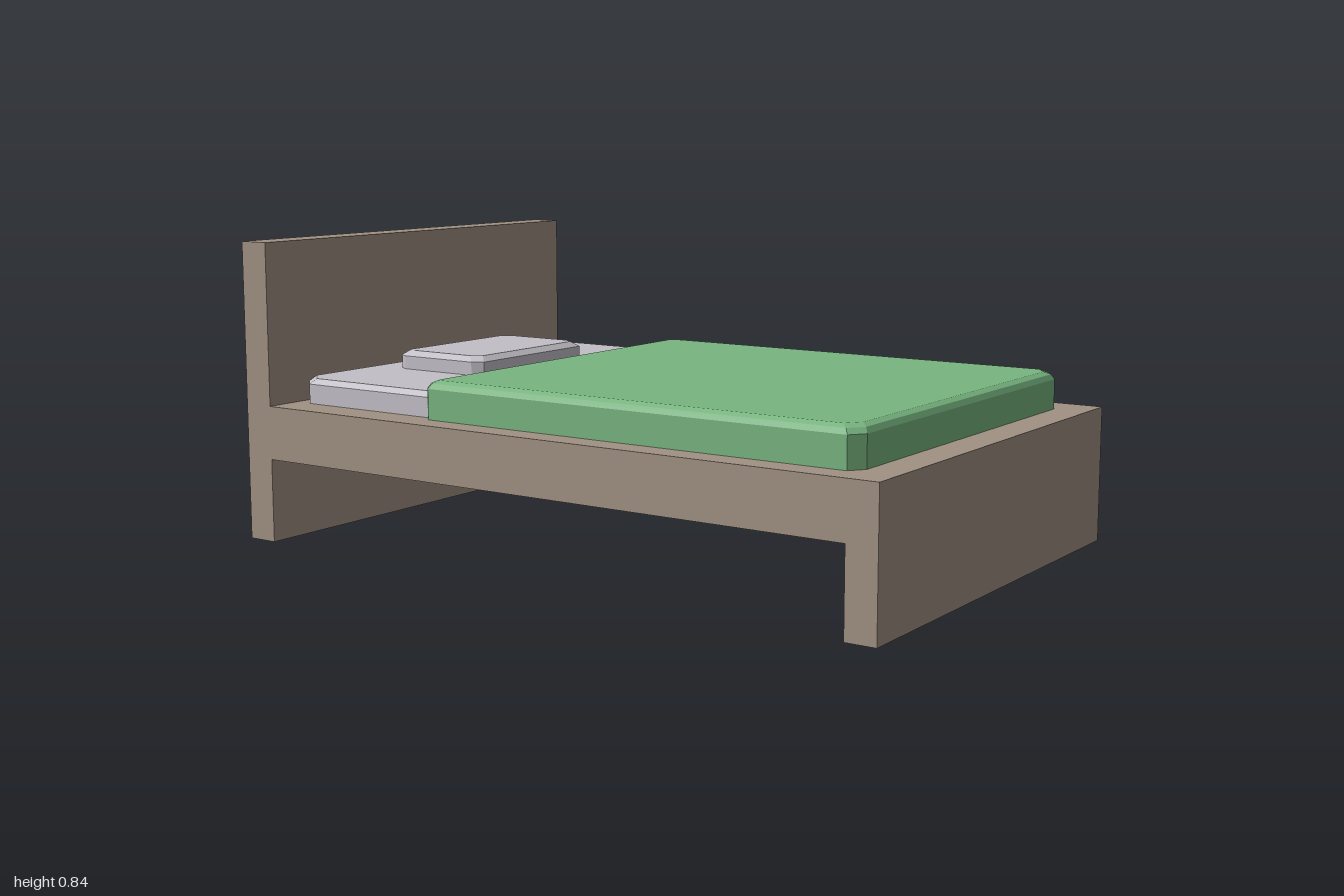
import * as THREE from 'three';

const mat = (name, color) => Object.assign(new THREE.MeshStandardMaterial({ color }), { name });

// Cut-corner slab: outline loops stacked as [y, inset], closed on top and bottom.
// cuts: corner cut [dx, dz] at the head (-x) and foot (+x) ends.
function slab(x0, x1, z0, z1, cutHead, cutFoot, levels) {
  const [hx, hz] = cutHead, [fx, fz] = cutFoot;
  const pos = [], index = [];
  for (const [y, i] of levels) {
    const a = x0 + i, b = x1 - i, c = z0 + i, d = z1 - i;
    const loop = [[a + hx, d], [b - fx, d], [b, d - fz], [b, c + fz],
      [b - fx, c], [a + hx, c], [a, c + hz], [a, d - hz]];
    for (const [x, z] of loop) pos.push(x, y, z);
  }
  const last = (levels.length - 1) * 8;
  for (let l = 0; l < last; l += 8) {
    for (let k = 0; k < 8; k++) {
      const n = (k + 1) % 8;
      index.push(l + k, l + n, l + 8 + n, l + k, l + 8 + n, l + 8 + k);
    }
  }
  for (let k = 1; k < 7; k++) {
    index.push(last, last + k, last + k + 1, 0, k + 1, k);
  }
  const indexed = new THREE.BufferGeometry();
  indexed.setAttribute('position', new THREE.Float32BufferAttribute(pos, 3));
  indexed.setIndex(index);
  const geo = indexed.toNonIndexed();
  geo.computeVertexNormals();
  return geo;
}

export function createModel() {
  const group = new THREE.Group();
  group.name = 'bed';
  const wood = mat('wood', 0xa09182);
  const linen = mat('linen', 0xc3bfc7);
  const green = mat('greenCloth', 0x78b580);
  const add = (name, geo, material) => {
    const mesh = new THREE.Mesh(geo, material);
    mesh.name = name;
    group.add(mesh);
    return mesh;
  };

  // Headboard, platform and foot panel as one side profile
  const profile = new THREE.Shape([
    [-1, 0], [-0.91, 0], [-0.91, 0.235], [0.915, 0.235], [0.915, 0.006],
    [1, 0.006], [1, 0.385], [-0.91, 0.385], [-0.91, 0.84], [-1, 0.84],
  ].map(([x, y]) => new THREE.Vector2(x, y)));
  const frame = new THREE.ExtrudeGeometry(profile, { depth: 1.3, bevelEnabled: false });
  add('bedFrame', frame.translate(0, 0, -0.65), wood);

  // Mattress, running on under the blanket
  add('mattress', slab(-0.908, 0.85, -0.555, 0.548, [0.05, 0.05], [0.04, 0.04],
    [[0.38, 0], [0.44, 0], [0.455, 0.015]]), linen);

  // Pillow
  add('pillow', slab(-0.808, -0.497, -0.248, 0.24, [0.03, 0.02], [0.03, 0.02],
    [[0.445, 0], [0.493, 0], [0.508, 0.02]]), linen);

  // Blanket, with larger cut corners at the foot
  add('blanket', slab(-0.405, 0.905, -0.578, 0.574, [0.012, 0.012], [0.03, 0.04],
    [[0.38, 0], [0.468, 0], [0.482, 0.008], [0.49, 0.024]]), green);

  return group;
}
